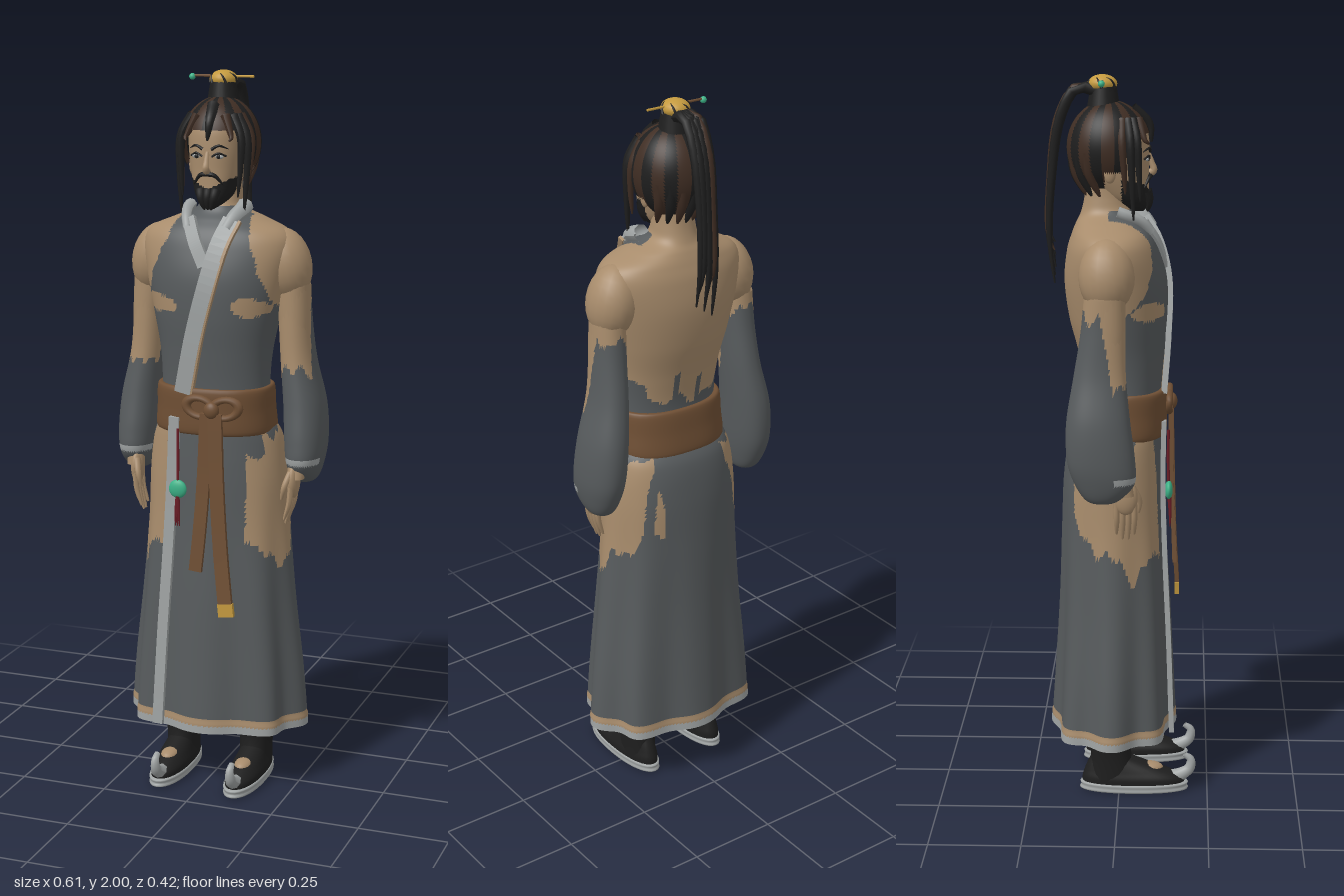
import * as THREE from 'three';

const mat = (name, color) => {
  const m = new THREE.MeshStandardMaterial({ color, side: THREE.DoubleSide });
  m.name = name;
  return m;
};
const SKIN = mat('skin', 0xa88c6c), ROBE = mat('robe grey', 0x575b5d), TRIM = mat('pale trim', 0xa0a4a4),
  BELT = mat('belt brown', 0x6f4f34), BLACK = mat('black', 0x1e1e1e), BROWN = mat('hair brown', 0x3f2d23),
  GOLD = mat('gold', 0xc49a3f), JADE = mat('jade', 0x3cb287), RED = mat('cord red', 0x6b1c26);
const V = (p) => new THREE.Vector3(...p);
const curveOf = (pts) => new THREE.CatmullRomCurve3(pts.map(V));

// Smooth oval body from rings [y, halfWidth, zFront, zBack, centreX], listed bottom to top
function loft(rings, { n = 2.2, segs = 48, steps = 6, fold = () => 1 } = {}) {
  const pos = [], idx = [], rows = (rings.length - 1) * steps;
  for (let i = 0; i <= rows; i++) {
    const k = Math.min(Math.floor(i / steps), rings.length - 2), t = i / steps - k;
    const at = (j) => rings[Math.max(0, Math.min(rings.length - 1, j))];
    const val = (c) => {
      const [a, b, d, e] = [at(k - 1), at(k), at(k + 1), at(k + 2)].map((r) => r[c] ?? 0);
      return b + 0.5 * t * (d - a + t * (2 * a - 5 * b + 4 * d - e + t * (3 * (b - d) + e - a)));
    };
    const y = val(0), rx = val(1), zf = val(2), zb = val(3), cx = val(4);
    for (let j = 0; j < segs; j++) {
      const a = (j / segs) * Math.PI * 2, c = Math.cos(a), s = Math.sin(a), f = fold(a, y);
      pos.push(cx + f * rx * Math.sign(c) * Math.abs(c) ** (2 / n), y,
        (zf + zb) / 2 + f * ((zf - zb) / 2) * Math.sign(s) * Math.abs(s) ** (2 / n));
      if (i === rows) continue;
      const p = i * segs + j, q = i * segs + ((j + 1) % segs);
      idx.push(p, p + segs, q, q, p + segs, q + segs);
    }
  }
  const g = new THREE.BufferGeometry();
  g.setAttribute('position', new THREE.Float32BufferAttribute(pos, 3));
  g.setIndex(idx);
  g.computeVertexNormals();
  return g;
}

// Sorts triangles into material groups by their centre; a rule result of -1 drops the triangle
function paint(g, count, rule) {
  const p = g.attributes.position, ix = g.index.array, sets = Array.from({ length: count }, () => []);
  for (let i = 0; i < ix.length; i += 3) {
    const t = [ix[i], ix[i + 1], ix[i + 2]];
    const mid = (f) => (f(t[0]) + f(t[1]) + f(t[2])) / 3;
    const m = rule(mid((v) => p.getX(v)), mid((v) => p.getY(v)), mid((v) => p.getZ(v)));
    if (m >= 0) sets[m].push(...t);
  }
  g.clearGroups();
  g.setIndex(sets.flat());
  let start = 0;
  sets.forEach((s, m) => { g.addGroup(start, s.length, m); start += s.length; });
  return g;
}

// Tapered round lock along a path
function lock(pts, radius, shape = (u) => Math.sqrt(1 - u * 0.98)) {
  const c = curveOf(pts), g = new THREE.TubeGeometry(c, 16, 1, 8), p = g.attributes.position;
  for (let i = 0; i < p.count; i++) {
    const u = Math.floor(i / 9) / 16, o = c.getPointAt(u), r = radius * shape(u);
    p.setXYZ(i, o.x + (p.getX(i) - o.x) * r, o.y + (p.getY(i) - o.y) * r, o.z + (p.getZ(i) - o.z) * r);
  }
  g.computeVertexNormals();
  return g;
}

// Flat cloth strip with thickness, facing +z
function strip(pts, w, t) {
  const c = curveOf(pts), pos = [], N = 24;
  const corners = (u) => {
    const o = c.getPointAt(u), T = c.getTangentAt(u);
    const S = new THREE.Vector3().crossVectors(T, V([0, 0, 1])).normalize();
    const F = new THREE.Vector3().crossVectors(S, T);
    return [[-1, 1], [1, 1], [1, -1], [-1, -1]].map(([a, b]) =>
      o.clone().addScaledVector(S, (a * w) / 2).addScaledVector(F, (b * t) / 2));
  };
  const quad = (a, b, d, e) => [a, b, d, a, d, e].forEach((v) => pos.push(v.x, v.y, v.z));
  for (let i = 0; i < N; i++) {
    const A = corners(i / N), B = corners((i + 1) / N);
    for (let k = 0; k < 4; k++) quad(A[k], A[(k + 1) % 4], B[(k + 1) % 4], B[k]);
    if (i === 0) quad(A[3], A[2], A[1], A[0]);
    if (i === N - 1) quad(...B);
  }
  const g = new THREE.BufferGeometry();
  g.setAttribute('position', new THREE.Float32BufferAttribute(pos, 3));
  g.computeVertexNormals();
  return g;
}

export function createModel() {
  const model = new THREE.Group();
  const add = (name, geo, m, at = [0, 0, 0], scale = [1, 1, 1]) => {
    const mesh = new THREE.Mesh(geo, m);
    mesh.name = name;
    mesh.position.set(...at);
    mesh.scale.set(...scale);
    model.add(mesh);
    return mesh;
  };
  const ball = (name, m, at, scale) => add(name, new THREE.SphereGeometry(1, 20, 14), m, at, scale);

  // Torso: open-backed halter robe over bare shoulders and back
  const torso = loft([[1.03, .16, .115, -.11], [1.15, .152, .115, -.1], [1.25, .158, .122, -.115], [1.35, .178, .13, -.14],
    [1.45, .2, .128, -.152], [1.53, .214, .108, -.145], [1.575, .195, .088, -.132], [1.605, .13, .062, -.12],
    [1.63, .07, .035, -.108], [1.67, .055, .018, -.098], [1.74, .052, .01, -.09]], { segs: 120, steps: 9 });
  add('torso', paint(torso, 2, (x, y, z) => {
    const ax = Math.abs(x), wob = .012 * Math.sin(x * 70) + .008 * Math.sin(y * 90 + x * 30);
    if (y > 1.64) return 1;
    if (z < -.03) return y > 1.18 + wob + (ax > .03 && ax < .045 ? .07 : 0) + Math.max(0, ax - .1) * 1.8 ? 1 : 0;
    if (((ax - .13) / .05) ** 2 + ((y - 1.38) / .026) ** 2 < 1 + wob * 20) return 1;
    return y > 1.38 && ax > .168 - (y - 1.42) * .36 + wob * .3 ? 1 : 0;
  }), [ROBE, SKIN]);

  // Crossed collar with tan piping, folded over the neck
  const lapel = [[.066, 1.61, .07], [.045, 1.55, .108], [.02, 1.45, .134], [-.02, 1.3, .133], [-.055, 1.14, .122]];
  add('leftCollar', strip(lapel, .046, .016), TRIM);
  add('leftCollarPiping', strip(lapel.map(([x, y, z]) => [x + .024, y - .004, z - .001]), .008, .017), SKIN);
  add('rightCollar', strip([[-.056, 1.61, .068], [-.025, 1.55, .104], [.008, 1.49, .122]], .036, .014), TRIM);
  for (const [name, s, w] of [['leftCollarFold', 1, .017], ['rightCollarFold', -1, .012]])
    add(name, lock([[s * .055, 1.585, .085], [s * .068, 1.615, .058], [s * .078, 1.632, .02], [s * .078, 1.64, -.005]], w, (u) => 1 + .4 * u), TRIM);

  // Skirt with eight folds, worn side patches and piped hem
  const skirt = loft([[.17, .25, .15, -.187], [.22, .249, .149, -.184], [.35, .24, .144, -.177], [.55, .22, .136, -.167],
    [.75, .204, .125, -.162], [.9, .197, .12, -.157], [1, .183, .115, -.142], [1.05, .162, .112, -.11]],
    { n: 2.25, segs: 144, steps: 11, fold: (a, y) => 1 + .075 * Math.max(0, .95 - y) * Math.cos(8 * a) + (y < .2 ? .008 : 0) });
  add('skirt', paint(skirt, 3, (x, y, z) => {
    if (y < .192) return 2;
    if (y < .21) return 1;
    const ax = Math.abs(x), wob = .02 * Math.sin(z * 60 + x * 20) + .012 * Math.sin(z * 140);
    const top = x > 0 && z > .06 ? .95 : 1.03;
    return ax > .108 + wob * .4 && y < top + wob && z > -.148 + wob && y > .65 + .85 * Math.abs(z - .045) + wob ? 1 : 0;
  }), [ROBE, SKIN, TRIM]);
  add('skirtEdge', strip([[-.08, 1.07, .122], [-.088, .9, .12], [-.098, .7, .126], [-.112, .45, .138], [-.125, .18, .148]], .03, .014), TRIM);

  // Belt, knot and hanging tails
  add('belt', loft([[1.025, .15, .11, -.11], [1.03, .168, .128, -.128], [1.09, .165, .13, -.122], [1.148, .162, .129, -.115], [1.152, .145, .11, -.1]], { n: 2.4 }), BELT);
  for (const s of [-1, 1]) {
    const loop = add('beltKnotLoop', new THREE.TorusGeometry(.03, .011, 10, 28), BELT, [.035 + s * .037, 1.105, .135], [1.3, .85, 1]);
    loop.rotation.z = s * .2;
  }
  ball('beltKnot', BELT, [.035, 1.1, .142], [.022, .024, .016]);
  add('shortTail', strip([[.02, 1.09, .14], [.012, .9, .142], [.002, .75, .149], [-.008, .645, .153]], .036, .012), BELT);
  add('longTail', strip([[.045, 1.09, .142], [.052, .9, .146], [.066, .7, .152], [.082, .56, .16]], .04, .012), BELT);
  add('longTailEnd', strip([[.082, .562, .16], [.084, .545, .16], [.086, .525, .16]], .044, .013), GOLD);

  // Jade pendant on a red cord
  add('pendantCord', lock([[-.066, 1.04, .134], [-.066, .95, .134], [-.066, .87, .136]], .004, () => 1), RED);
  ball('pendant', JADE, [-.066, .87, .136], [.026, .026, .011]);
  for (const s of [-1, 0, 1]) add('pendantTassel', lock([[-.066, .85, .138], [-.066 + s * .004, .81, .14], [-.066 + s * .006, .765, .14]], .006), RED);

  for (const s of [-1, 1]) {
    const side = s > 0 ? 'left' : 'right';
    // Shoulder and arm with a loose detached sleeve
    ball(side + 'Shoulder', SKIN, [s * .188, 1.485, -.03], [.07, .1, .075]).rotation.z = s * .22;
    add(side + 'Arm', loft([[.9, .024, .045, .0, s * .238], [1, .03, .03, -.04, s * .24], [1.2, .038, .015, -.075, s * .222],
      [1.35, .044, .02, -.085, s * .213], [1.5, .05, .02, -.08, s * .2]], { segs: 24 }), SKIN);
    const sleeve = loft([[.878, .006, -.03, -.05, s * .245], [.89, .032, .005, -.085, s * .247], [.935, .048, .046, -.115, s * .248],
      [1, .056, .047, -.135, s * .247], [1.1, .056, .034, -.137, s * .24], [1.22, .047, .022, -.118, s * .222],
      [1.33, .044, .02, -.1, s * .214], [1.43, .044, .02, -.09, s * .21]], { segs: 64, steps: 8 });
    add(side + 'Sleeve', paint(sleeve, 3, (x, y, z) => {
      const wob = .015 * Math.sin(z * 110) + .01 * Math.sin(x * 160);
      if (z > -.01 && y > .938 && y < .958) return 2;
      return y > Math.max(1.19, Math.min(1.385, 1.36 - 5 * (z + .045))) + wob ? 1 : 0;
    }), [ROBE, SKIN, TRIM]);

    // Hand with four fingers and a thumb
    ball(side + 'Palm', SKIN, [s * .232, .893, .022], [.017, .05, .032]);
    for (let f = 0; f < 4; f++) {
      const z = -.004 + f * .016, end = .785 - (f === 1 || f === 2 ? .014 : 0);
      add(side + 'Finger', lock([[s * .231, .88, z], [s * .226, .83, z + .001], [s * .212, end, z]], .0085, (u) => 1 - .6 * u ** 3), SKIN);
    }
    add(side + 'Thumb', lock([[s * .228, .92, .04], [s * .216, .88, .058], [s * .208, .845, .056]], .009, (u) => 1 - .6 * u ** 3), SKIN);

    // Leg, shoe, sole and curled toe
    add(side + 'Leg', loft([[.03, .044, .05, -.085, s * .112], [.1, .045, .035, -.08, s * .112], [.2, .052, .034, -.085, s * .112],
      [.5, .06, .04, -.1, s * .11], [.9, .075, .05, -.1, s * .09]], { segs: 24 }), BLACK);
    add(side + 'Shoe', loft([[.02, .048, .185, -.104, s * .112], [.04, .048, .182, -.104, s * .112], [.06, .042, .14, -.098, s * .112],
      [.08, .036, .085, -.09, s * .112], [.1, .03, .03, -.08, s * .112]], { segs: 32 }), BLACK);
    ball(side + 'Instep', SKIN, [s * .112, .064, .085], [.026, .018, .04]);
    add(side + 'Sole', loft([[0, .01, .06, -.03, s * .112], [.002, .048, .185, -.106, s * .112], [.014, .05, .192, -.108, s * .112],
      [.026, .049, .188, -.106, s * .112], [.028, .02, .1, -.05, s * .112]], { segs: 32, steps: 4 }), TRIM);
    add(side + 'ToeCurl', lock([[s * .112, .035, .152], [s * .112, .046, .178], [s * .112, .062, .199], [s * .112, .09, .203], [s * .112, .104, .185]],
      .023, (u) => 1 - .65 * u), TRIM);

    // Eye, brow, moustache, ear and side locks
    ball(side + 'EyeWhite', TRIM, [s * .031, 1.778, .073], [.014, .006, .005]);
    ball(side + 'Pupil', BLACK, [s * .031, 1.778, .076], [.006, .006, .004]);
    add(side + 'EyeLid', lock([[s * .013, 1.778, .079], [s * .031, 1.787, .078], [s * .05, 1.779, .066]], .0028, () => 1), BLACK);
    add(side + 'Brow', lock([[s * .012, 1.797, .08], [s * .032, 1.807, .078], [s * .055, 1.798, .062]], .0045), BLACK);
    add(side + 'Moustache', lock([[0, 1.732, .082], [s * .02, 1.728, .079], [s * .042, 1.702, .066]], .007), BLACK);
    ball(side + 'Ear', SKIN, [s * .08, 1.745, -.025], [.01, .028, .016]);
    [[.05, .064, 1.82, .068, BROWN], [.07, .083, 1.67, .046, BLACK], [.08, .094, 1.62, .028, BLACK], [.084, .097, 1.69, .006, BROWN]].forEach(([x0, x1, y, z, m]) =>
      add(side + 'HairLock', lock([[s * x0 * .8, 1.885, z * .7], [s * x1, 1.83, z], [s * x1 * 1.02, (y + 1.83) / 2, z + .006], [s * x1 * .95, y, z + .01]], .014), m));
  }

  // Head with painted beard
  const head = loft([[1.635, .008, .062, .04], [1.65, .03, .075, .0], [1.67, .048, .078, -.04], [1.7, .06, .077, -.07], [1.74, .07, .077, -.1],
    [1.8, .078, .079, -.12], [1.86, .08, .07, -.12], [1.9, .055, .03, -.09]], { n: 2.4, segs: 88 });
  add('head', paint(head, 2, (x, y, z) => {
    const ax = Math.abs(x), mouth = ax < .02 && y > 1.7;
    return z > .005 && !mouth && y < 1.69 + ax * .5 ? 1 : 0;
  }), [SKIN, BLACK]);
  add('nose', lock([[0, 1.79, .077], [0, 1.765, .085], [0, 1.745, .09], [0, 1.738, .08]], .011, (u) => .5 + .5 * u), SKIN);
  for (const x of [-.022, 0, .022]) add('goatee', lock([[x, 1.69, .07], [x * .8, 1.665, .078], [x * .4, 1.635, .074]], .015), BLACK);

  // Striped hair cap open over the face
  const cap = new THREE.SphereGeometry(1, 120, 40);
  cap.scale(.109, .125, .115);
  add('hairCap', paint(cap, 2, (x, y, z) => {
    const low = z > .035 ? .035 + .1 * Math.abs(x) : z > -.01 ? -.06 : -.105;
    if (y < low) return -1;
    const k = Math.floor((Math.atan2(x, z) / (Math.PI * 2) + 1) * 20 + .5);
    return k % 2;
  }), [BLACK, BROWN], [0, 1.808, -.03]);
  add('forelock', lock([[0, 1.91, .03], [.006, 1.87, .076], [.002, 1.82, .084]], .018), BLACK);
  for (let i = -3; i <= 3; i++) {
    const a = i * .33, x = Math.sin(a) * .092, z = -.03 - Math.cos(a) * .096;
    add('napeLock', lock([[x, 1.8, z], [x * .95, 1.74, z + .004], [x * .8, 1.68, z + .03]], .019), i % 2 ? BROWN : BLACK);
  }

  // Topknot, gold crown and hairpin
  add('topknot', new THREE.CylinderGeometry(.034, .044, .06, 24), BLACK, [0, 1.945, -.045]);
  ball('crown', GOLD, [0, 1.975, -.048], [.038, .025, .04]);
  for (let i = 0; i < 6; i++) {
    const a = i * Math.PI / 3, p = (r, y, d) => [Math.cos(a + d) * r, y, -.048 + Math.sin(a + d) * r];
    add('crownStrand', lock([p(.04, 1.965, 0), p(.036, 1.984, .25), p(.026, 1.993, .6)], .004), BLACK);
  }
  for (const [name, x, m] of [['hairpinShaft', -.045, BELT], ['hairpinTip', .043, GOLD]])
    add(name, new THREE.CylinderGeometry(.0035, .0035, .088, 8).rotateZ(Math.PI / 2), m, [x, 1.983, -.047]);
  ball('hairpinBead', JADE, [-.09, 1.98, -.047], [.009, .009, .009]);

  // Ponytail strands
  for (let i = 0; i < 7; i++) {
    const x = (i - 3) * .0065, end = 1.44 + ((i * 5) % 7) * .018, back = (i % 2) * .004;
    add('ponytailStrand', lock([[x * .6, 1.955, -.06], [x, 1.966, -.115], [x * 1.1, 1.89, -.16 - back], [x * 1.1, 1.72, -.186 - back],
      [x * 1.3, 1.57, -.192 - back], [x * 1.3, end, -.178]], .0155), i % 6 === 1 ? BROWN : BLACK);
  }
  return model;
}
